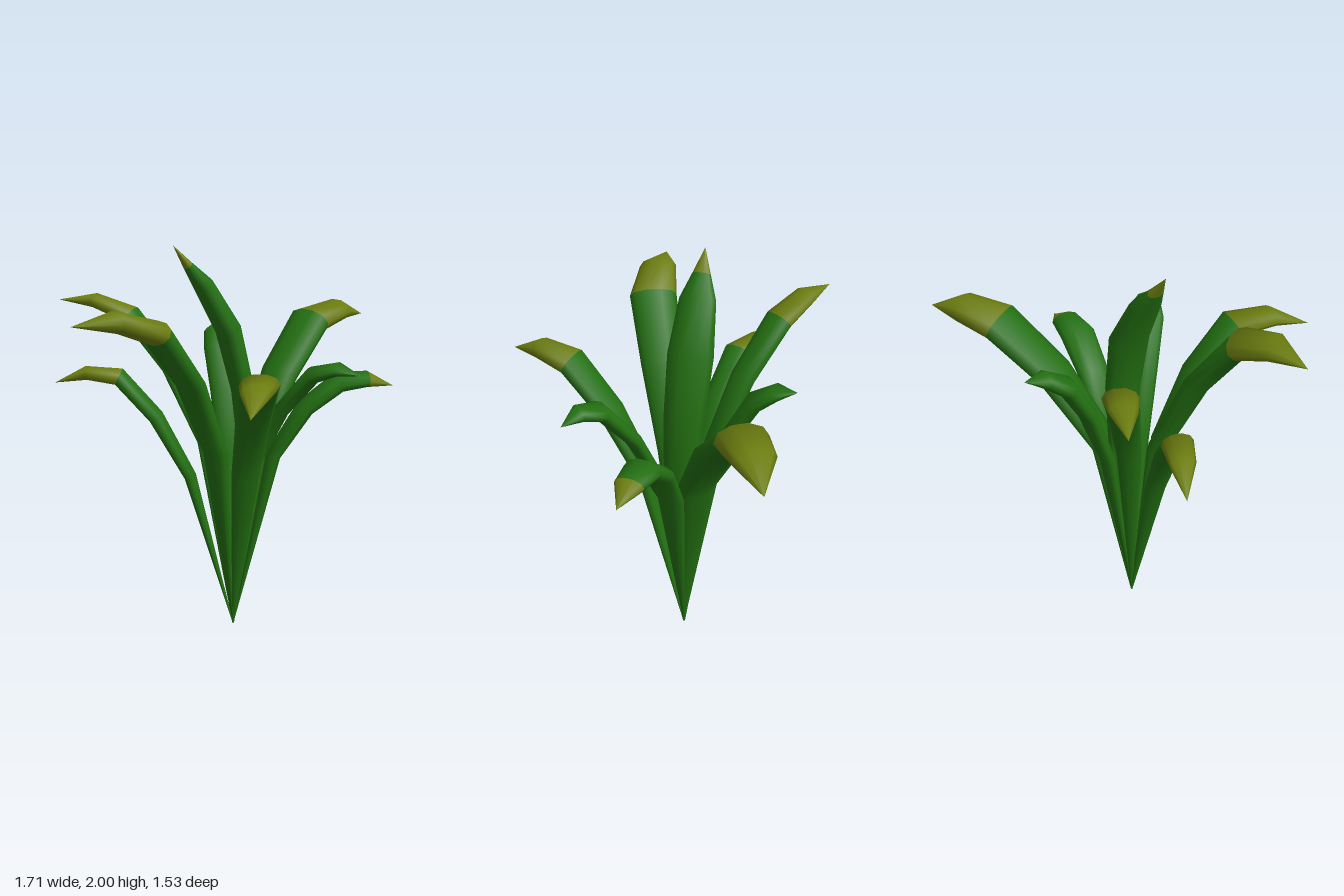
import * as THREE from 'three';

const SIDES = 10;
const ROOT = new THREE.Vector3(-0.01, 0, -0.19);
const UP = new THREE.Vector3(0, 1, 0);

// Leaf width, as a share of its widest, at each sixth of its length
const WIDTHS = [0.05, 0.37, 0.72, 0.9, 1, 0.79, 0];

// Builds one leaf through the root, knee, bend and point.
// dryFrom is the sixth of the length where the yellowed end starts.
function leafGeometry(knee, bend, point, width, dryFrom) {
  const curve = new THREE.CatmullRomCurve3(
    [ROOT, ...[knee, bend, point].map((p) => new THREE.Vector3(...p))], false, 'catmullrom');
  const sixths = [...new Set([0, 2, 3, 4, 5, 6, dryFrom])].sort((a, b) => a - b);
  const centres = sixths.map((s) => curve.getPoint(s / 6));
  const last = centres.length - 1;
  const heading = centres[last].clone().sub(ROOT).setY(0).normalize();
  const lateral = UP.clone().cross(heading);

  // Flattened oval rings, kept level across the width
  const positions = [];
  centres.forEach((centre, i) => {
    const into = centre.clone().sub(centres[Math.max(i - 1, 0)]).normalize();
    const out = centres[Math.min(i + 1, last)].clone().sub(centre).normalize();
    const normal = into.add(out).cross(lateral).normalize();
    const low = Math.floor(sixths[i]);
    const share = THREE.MathUtils.lerp(WIDTHS[low], WIDTHS[Math.min(low + 1, 6)], sixths[i] - low);
    const half = (width * share) / 2;
    for (let j = 0; j < SIDES; j++) {
      const a = (j / SIDES) * Math.PI * 2;
      const v = centre.clone()
        .addScaledVector(lateral, Math.cos(a) * half)
        .addScaledVector(normal, Math.sin(a) * half * 0.55);
      positions.push(v.x, v.y, v.z);
    }
  });

  const index = [];
  for (let i = 0; i < last; i++) {
    for (let j = 0; j < SIDES; j++) {
      const a = i * SIDES + j;
      const b = i * SIDES + ((j + 1) % SIDES);
      index.push(a, b, b + SIDES, a, b + SIDES, a + SIDES);
    }
  }

  const geometry = new THREE.BufferGeometry();
  geometry.setAttribute('position', new THREE.Float32BufferAttribute(positions, 3));
  geometry.setIndex(index);
  geometry.computeVertexNormals();

  // Green blade, then the yellowed end
  const split = sixths.indexOf(dryFrom) * SIDES * 6;
  geometry.addGroup(0, split, 0);
  if (split < index.length) geometry.addGroup(split, index.length - split, 1);
  return geometry;
}

export function createModel() {
  const plant = new THREE.Group();
  plant.name = 'leafyPlant';
  const green = new THREE.MeshStandardMaterial({ color: 0x237012 });
  green.name = 'leafGreen';
  const olive = new THREE.MeshStandardMaterial({ color: 0x6c7d10 });
  olive.name = 'tipOlive';

  const addLeaf = (name, ...shape) => {
    const leaf = new THREE.Mesh(leafGeometry(...shape), [green, olive]);
    leaf.name = name;
    plant.add(leaf);
  };

  // Knee, bend, point, widest width, start of the yellowed end
  addLeaf('backLeftLeaf', [0.11, 0.93, -0.26], [0.5, 1.52, -0.58], [0.85, 1.5, -0.77], 0.25, 4);
  addLeaf('backRightLeaf', [-0.14, 1, -0.27], [-0.46, 1.61, -0.5], [-0.8, 1.67, -0.67], 0.16, 4);
  addLeaf('rightLeaf', [-0.23, 0.84, -0.18], [-0.56, 1.35, -0.28], [-0.86, 1.3, -0.43], 0.15, 4);
  addLeaf('frontRightLeaf', [-0.12, 0.98, -0.09], [-0.44, 1.65, 0.13], [-0.83, 1.71, 0.19], 0.23, 4);
  addLeaf('leftLeaf', [0.2, 0.92, -0.18], [0.53, 1.29, -0.15], [0.81, 1.26, -0.13], 0.18, 5);
  addLeaf('frontLeftLeaf', [0.07, 0.9, -0.09], [0.31, 1.41, 0.13], [0.51, 1.42, 0.24], 0.15, 6);
  addLeaf('frontLeaf', [0.01, 0.88, 0], [-0.02, 1.45, 0.4], [-0.15, 1.4, 0.76], 0.19, 4);
  addLeaf('backLeaf', [0, 0.92, -0.31], [0, 1.41, -0.51], [0.01, 1.5, -0.71], 0.17, 6);
  addLeaf('centreLeaf', [0.07, 0.9, -0.18], [-0.03, 1.58, -0.19], [-0.3, 2, -0.17], 0.22, 5.5);
  return plant;
}
